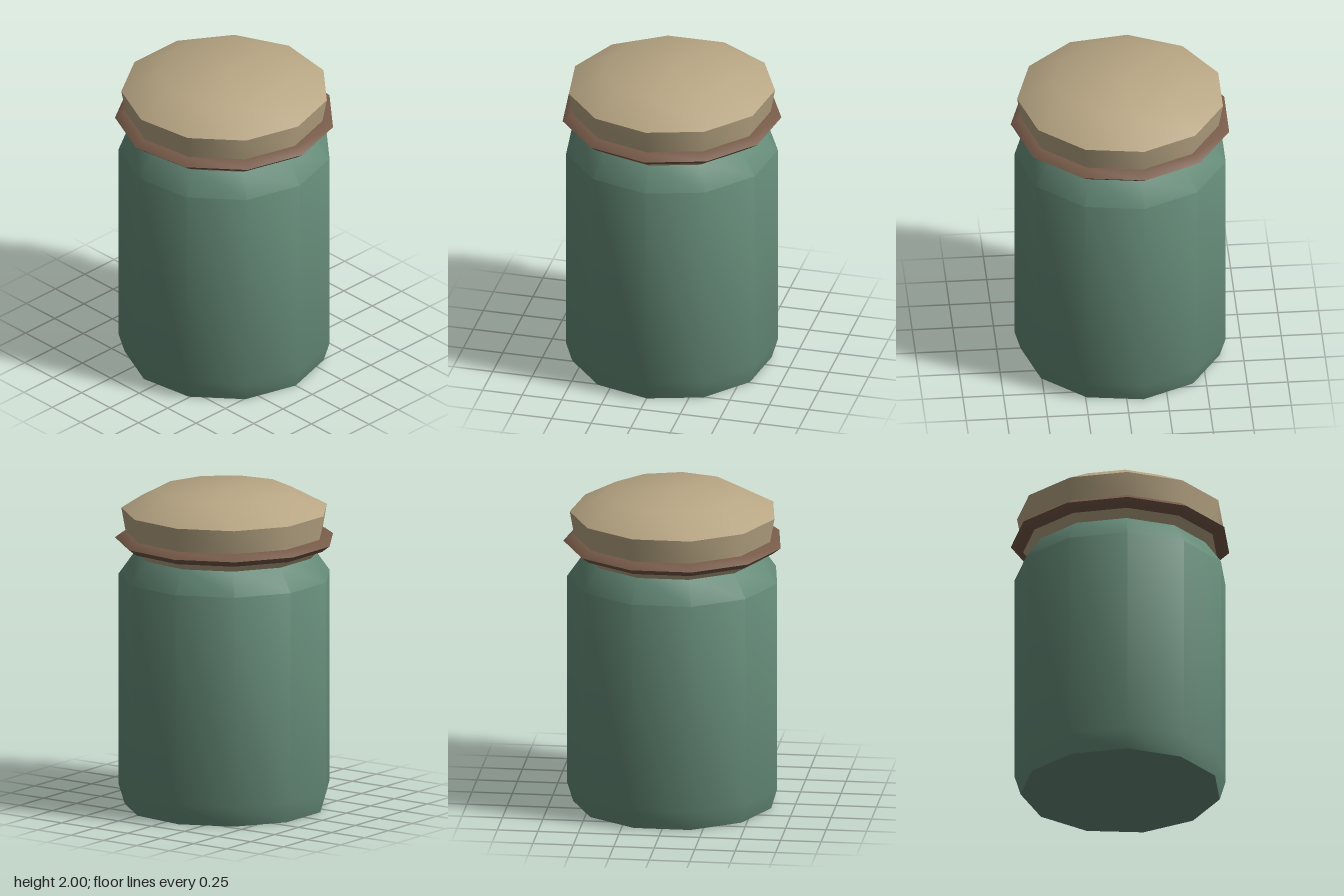
import * as THREE from 'three';
import { toCreasedNormals } from 'three/addons/utils/BufferGeometryUtils.js';

const SIDES = 11;
const CREASE = 0.7;

const mat = (name, color) => {
  const m = new THREE.MeshStandardMaterial({ color });
  m.name = name;
  return m;
};

// Revolve a [radius, height] profile (bottom to top), one corner facing +x
function turned(name, profile, material) {
  const points = profile.map(([r, y]) => new THREE.Vector2(r, y));
  const lathe = new THREE.LatheGeometry(points, SIDES, Math.PI / 2);
  const mesh = new THREE.Mesh(toCreasedNormals(lathe, CREASE), material);
  mesh.name = name;
  return mesh;
}

export function createModel() {
  const green = mat('green glaze', 0x668c79);
  const tan = mat('tan cork', 0xb8a684);
  const brown = mat('brown band', 0x765a48);

  const jar = new THREE.Group();
  jar.name = 'jar';

  // Closed body with tapered foot and sloping shoulder
  jar.add(turned('body', [
    [0, 0], [0.618, 0], [0.656, 0.125], [0.656, 1.445], [0.553, 1.59], [0, 1.59],
  ], green));

  // Flared neck of the stopper, below the band
  jar.add(turned('stopperNeck', [[0, 1.588], [0.555, 1.588], [0.612, 1.645], [0.612, 1.66]], tan));

  // Lid with flared rim, chamfer and shallow crown
  jar.add(turned('lid', [
    [0, 1.66], [0.603, 1.66], [0.612, 1.71], [0.639, 1.86], [0.415, 1.98], [0, 2],
  ], tan));

  // Pointed band around the lid
  jar.add(turned('band', [
    [0.58, 1.635], [0.628, 1.635], [0.678, 1.673], [0.628, 1.71], [0.58, 1.71], [0.58, 1.635],
  ], brown));

  // Odd-sided outline: shift so its bounds are centred
  jar.children.forEach((part) => { part.position.x = -0.014; });
  return jar;
}
